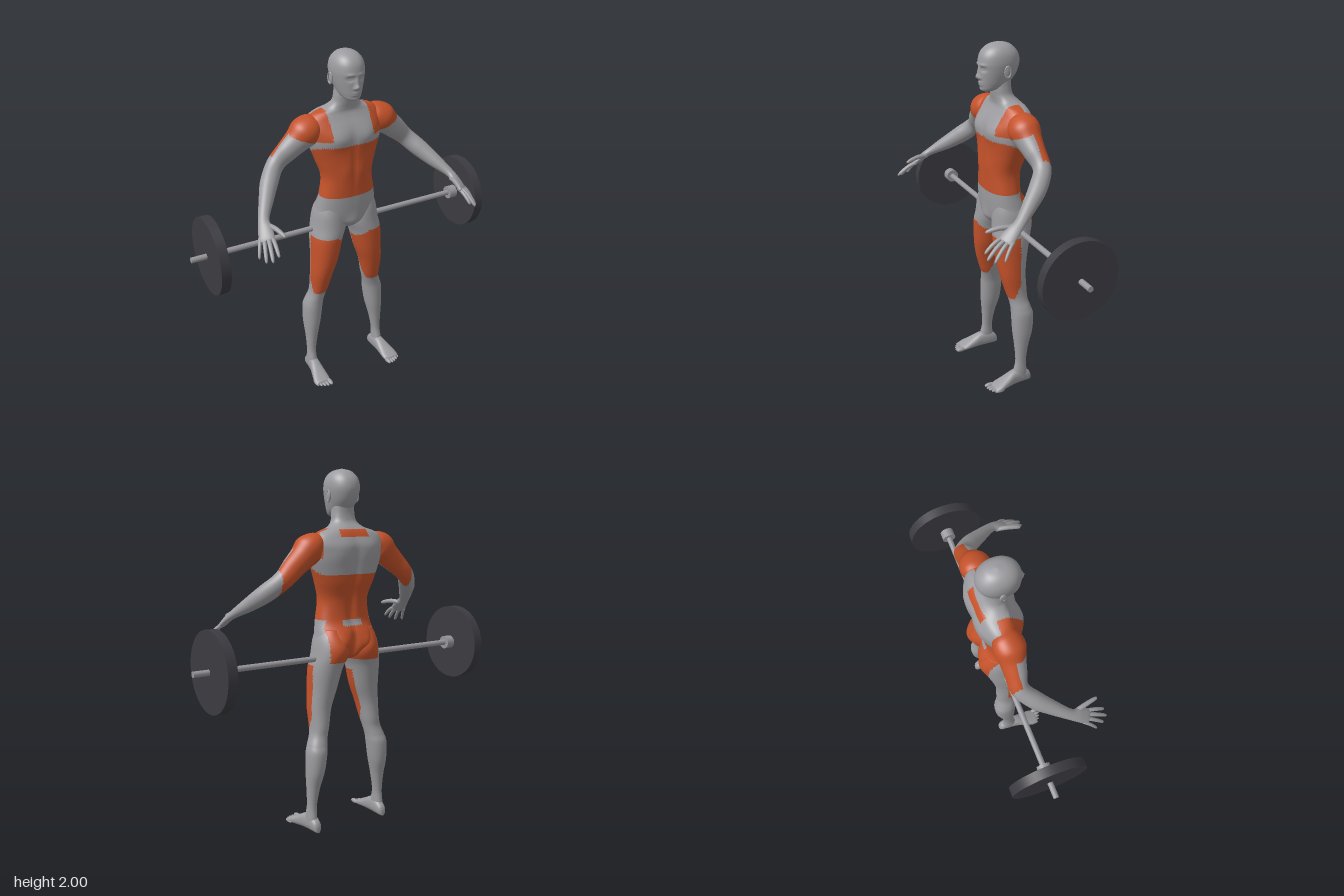
import * as THREE from 'three';

const material = (name, color) => Object.assign(new THREE.MeshStandardMaterial({ color }), { name });

// A ring is nine numbers: centre, first half-axis, second half-axis.
const upright = ([y, x, hw, back, front]) =>
  [x, y, (back + front) / 2, 0, 0, (front - back) / 2, hw, 0, 0];

// Rings square to a path of [x, y, z, half-width, half-thickness], flat side towards `normal`.
function limb(rows, normal = new THREE.Vector3(0.45, 0.79, 0.42)) {
  const at = i => new THREE.Vector3().fromArray(rows[Math.max(0, Math.min(rows.length - 1, i))]);
  return rows.map((r, i) => {
    const dir = at(i + 1).sub(at(i - 1)).normalize();
    const u = new THREE.Vector3().crossVectors(dir, normal).normalize();
    const v = new THREE.Vector3().crossVectors(u, dir);
    return [r[0], r[1], r[2], ...u.multiplyScalar(r[3]), ...v.multiplyScalar(r[4])];
  });
}

// Smooth surface through rings; `sculpt` moves points, `paint` picks a material per face.
function loft(rings, { segs = 48, steps = 8, side = 1, power = 2, sculpt, paint = () => 0 }) {
  const pos = [], n = rings.length, p = new THREE.Vector3();
  const ring = i => rings[Math.max(0, Math.min(n - 1, i))];
  const bend = t => Math.sign(t) * Math.abs(t) ** (2 / power);
  const push = () => pos.push(p.x * side, p.y, p.z);
  const count = (n - 1) * steps + 1;
  for (let k = 0; k < count; k++) {
    const i = Math.min(n - 2, Math.floor(k / steps)), t = k / steps - i;
    const r = ring(i).map((b, q) => {
      const a = ring(i - 1)[q], c = ring(i + 1)[q], d = ring(i + 2)[q];
      return b + 0.5 * t * (c - a + t * (2 * a - 5 * b + 4 * c - d + t * (3 * (b - c) + d - a)));
    });
    for (let j = 0; j < segs; j++) {
      const w = (j / segs) * Math.PI * 2, cu = bend(Math.cos(w)), cv = bend(Math.sin(w));
      p.set(r[0] + r[3] * cu + r[6] * cv, r[1] + r[4] * cu + r[7] * cv, r[2] + r[5] * cu + r[8] * cv);
      if (sculpt) sculpt(p);
      push();
    }
  }
  p.fromArray(rings[0]); push();
  p.fromArray(rings[n - 1]); push();
  const faces = [];
  for (let j = 0; j < segs; j++) {
    const m = (j + 1) % segs, top = (count - 1) * segs;
    faces.push([count * segs, m, j], [count * segs + 1, top + j, top + m]);
    for (let k = 0; k < count - 1; k++) {
      const a = k * segs + j, b = k * segs + m;
      faces.push([a, b, b + segs], [a, b + segs, a + segs]);
    }
  }
  // Turn all faces outward, then sort them by colour
  const A = new THREE.Vector3(), B = new THREE.Vector3(), C = new THREE.Vector3();
  const load = f => { A.fromArray(pos, f[0] * 3); B.fromArray(pos, f[1] * 3); C.fromArray(pos, f[2] * 3); };
  const o = new THREE.Vector3().fromArray(pos);
  let volume = 0;
  const lists = [[], []];
  for (const f of faces) {
    load(f);
    const mid = A.clone().add(B).add(C).divideScalar(3);
    mid.x = Math.abs(mid.x);
    lists[paint(mid) ? 1 : 0].push(f);
    volume += A.sub(o).dot(B.sub(o).cross(C.sub(o)));
  }
  const g = new THREE.BufferGeometry();
  g.setAttribute('position', new THREE.Float32BufferAttribute(pos, 3));
  g.setIndex(lists.flat().flatMap(f => (volume < 0 ? [f[0], f[2], f[1]] : f)));
  g.addGroup(0, lists[0].length * 3, 0);
  g.addGroup(lists[0].length * 3, lists[1].length * 3, 1);
  g.computeVertexNormals();
  return g;
}

// Soft push along z around a point, mirrored in x
const bump = (p, x, y, rx, ry, amount) => {
  p.z += amount * Math.exp(-(((Math.abs(p.x) - x) / rx) ** 2) - ((p.y - y) / ry) ** 2);
};

export function createModel() {
  const model = new THREE.Group();
  model.name = 'weightlifter';
  const skin = material('bodyGrey', 0x9c9b9f), orange = material('muscleOrange', 0xc4522a);
  const steel = material('barSteel', 0x97969b), iron = material('plateIron', 0x3c3b41);
  const add = (name, geometry, mat = [skin, orange], parent = model) => {
    const mesh = new THREE.Mesh(geometry, mat);
    mesh.name = name;
    parent.add(mesh);
    return mesh;
  };

  // Torso and neck
  const torso = [[0.965, 0.02, -0.13, -0.06], [0.985, 0.07, -0.17, -0.02], [1.02, 0.15, -0.19, 0.01],
    [1.06, 0.185, -0.197, 0.02], [1.12, 0.178, -0.192, 0.027], [1.19, 0.165, -0.165, 0.03],
    [1.3, 0.15, -0.168, 0.033], [1.4, 0.178, -0.198, 0.032], [1.5, 0.212, -0.212, 0.03],
    [1.56, 0.222, -0.215, 0.022], [1.6, 0.225, -0.212, 0.007], [1.64, 0.215, -0.195, -0.017],
    [1.668, 0.175, -0.18, -0.03], [1.69, 0.11, -0.16, -0.03], [1.72, 0.075, -0.135, -0.025],
    [1.76, 0.066, -0.125, -0.02], [1.81, 0.062, -0.125, -0.02]];
  const buttock = p => p.y > 0.965 && p.z < -0.125 && p.x < 0.16;
  add('torso', loft(torso.map(([y, hw, b, f]) => upright([y, 0, hw, b, f])), {
    segs: 96, steps: 8, power: 2.3,
    sculpt(p) {
      if (p.z > -0.03) {
        bump(p, 0.09, 1.535, 0.07, 0.05, 0.016);
        bump(p, 0, 1.4, 0.012, 0.16, -0.006);
        bump(p, 0.05, 1.34, 0.03, 0.05, 0.004);
        bump(p, 0, 1.02, 0.04, 0.05, 0.012);
      } else if (p.z < -0.13) {
        bump(p, 0, 1.36, 0.025, 0.2, 0.018);
        bump(p, 0.1, 1.56, 0.06, 0.07, -0.008);
        bump(p, 0.08, 1.06, 0.05, 0.06, -0.025);
        bump(p, 0, 1.05, 0.014, 0.07, 0.025);
      }
    },
    paint(p) {
      const back = p.z < -0.12;
      if (p.y < 1.19) return buttock(p) && !(back && p.y > 1.155 && p.x < 0.06);
      if (p.y < 1.44 + 0.055 * THREE.MathUtils.smoothstep(p.z, -0.16, 0)) return true;
      if (back && p.x < 0.09 && p.y > 1.64 && p.y < 1.68) return true;
      return p.y > 1.53 && p.x > (back ? 0.19 : 0.125);
    },
  }));

  // Head with sculpted face
  const head = [[1.742, 0.015, -0.01, 0.025], [1.755, 0.042, -0.05, 0.041], [1.78, 0.06, -0.11, 0.047],
    [1.82, 0.074, -0.148, 0.051], [1.86, 0.084, -0.167, 0.053], [1.9, 0.089, -0.174, 0.053],
    [1.94, 0.084, -0.165, 0.044], [1.97, 0.068, -0.142, 0.022], [1.99, 0.042, -0.112, -0.012],
    [2, 0.004, -0.066, -0.058]];
  add('head', loft(head.map(([y, hw, b, f]) => upright([y, 0, hw, b, f])), {
    segs: 96, steps: 10, power: 2.15,
    sculpt(p) {
      if (p.z < 0) return;
      bump(p, 0, 1.825, 0.012, 0.014, 0.018);
      bump(p, 0, 1.85, 0.009, 0.026, 0.012);
      bump(p, 0.013, 1.819, 0.007, 0.007, 0.007);
      bump(p, 0.033, 1.868, 0.016, 0.012, -0.01);
      bump(p, 0.033, 1.868, 0.01, 0.005, 0.005);
      bump(p, 0.03, 1.89, 0.022, 0.008, 0.005);
      bump(p, 0, 1.788, 0.022, 0.013, 0.009);
      bump(p, 0, 1.788, 0.022, 0.0025, -0.005);
      bump(p, 0, 1.755, 0.02, 0.01, 0.005);
    },
  }), [skin, orange]);

  const legRows = [[1.14, 0.1, 0.065, -0.17, 0], [1.08, 0.1, 0.088, -0.195, 0.013],
    [1, 0.104, 0.098, -0.208, 0.02], [0.92, 0.126, 0.09, -0.19, 0.025], [0.8, 0.143, 0.078, -0.165, 0.017],
    [0.7, 0.162, 0.064, -0.152, 0], [0.6, 0.173, 0.053, -0.156, -0.028], [0.55, 0.183, 0.05, -0.157, -0.045],
    [0.5, 0.198, 0.054, -0.17, -0.052], [0.45, 0.207, 0.057, -0.183, -0.053], [0.35, 0.215, 0.05, -0.177, -0.056],
    [0.25, 0.223, 0.036, -0.15, -0.065], [0.15, 0.229, 0.026, -0.135, -0.07], [0.08, 0.231, 0.028, -0.14, -0.055],
    [0.03, 0.231, 0.028, -0.148, -0.05]];
  // Foot sections: z, x, half-width, height
  const footRows = [[-0.168, 0.227, 0.01, 0.035], [-0.155, 0.227, 0.024, 0.062], [-0.11, 0.228, 0.03, 0.09],
    [-0.055, 0.232, 0.033, 0.09], [0, 0.238, 0.042, 0.064], [0.05, 0.243, 0.049, 0.04], [0.085, 0.244, 0.044, 0.024]];
  const armRows = [[0.16, 1.6, -0.1, 0.06, 0.055], [0.2, 1.595, -0.097, 0.08, 0.07], [0.24, 1.572, -0.096, 0.085, 0.082],
    [0.285, 1.53, -0.1, 0.07, 0.07], [0.34, 1.483, -0.105, 0.058, 0.062], [0.41, 1.418, -0.108, 0.048, 0.052],
    [0.475, 1.352, -0.05, 0.048, 0.05], [0.53, 1.292, 0.025, 0.039, 0.04], [0.583, 1.235, 0.105, 0.03, 0.024],
    [0.597, 1.205, 0.15, 0.038, 0.02], [0.608, 1.172, 0.19, 0.042, 0.016], [0.613, 1.16, 0.207, 0.036, 0.01]];
  // Knuckle, tip and thickness for each finger, thumb last
  const fingers = [[[0.583, 1.172, 0.205], [0.595, 1.11, 0.308], 0.011], [[0.602, 1.168, 0.198], [0.63, 1.09, 0.31], 0.0115],
    [[0.62, 1.166, 0.185], [0.655, 1.08, 0.282], 0.011], [[0.635, 1.166, 0.168], [0.673, 1.085, 0.235], 0.0095],
    [[0.575, 1.212, 0.14], [0.543, 1.198, 0.28], 0.0135]];

  for (const [side, label] of [[1, 'left'], [-1, 'right']]) {
    const half = new THREE.Group();
    half.name = label + 'Limbs';
    model.add(half);

    // Ear
    const ear = add(label + 'Ear', new THREE.SphereGeometry(1, 16, 12), skin, half);
    ear.scale.set(0.008, 0.03, 0.018);
    ear.position.set(side * 0.088, 1.855, -0.068);
    const rim = add(label + 'EarRim', new THREE.TorusGeometry(0.022, 0.005, 8, 24), skin, half);
    rim.scale.set(0.75, 1.3, 1);
    rim.rotation.y = Math.PI / 2 - side * 0.2;
    rim.position.set(side * 0.092, 1.855, -0.07);

    // Leg
    add(label + 'Leg', loft(legRows.map(upright), {
      side, power: 2.15,
      sculpt(p) {
        if (p.z < -0.13) bump(p, 0.09, 1.04, 0.06, 0.06, -0.018);
      },
      paint: p => buttock(p) || (p.y > 0.565 && p.z > -0.1 - Math.max(0, 0.66 - p.y) * -0.4
        && p.y < 0.94 - 0.8 * Math.max(0, 0.1 - p.x)),
    }), undefined, half);

    // Foot and toes
    add(label + 'Foot', loft(footRows.map(([z, x, hw, h]) => [x, h / 2, z, hw, 0, 0, 0, h / 2, 0]),
      { side, segs: 32, steps: 5, power: 2.4 }), undefined, half);
    for (let i = 0; i < 5; i++) {
      const toe = add(label + 'Toe', new THREE.SphereGeometry(1, 14, 10), skin, half);
      const r = i ? 0.0095 : 0.0135;
      toe.scale.set(r, r, 0.032);
      toe.position.set(side * (i ? 0.21 + i * 0.0185 : 0.207), r + 0.002, 0.092 - 0.003 * i * i / 1.5);
    }

    // Arm and palm
    add(label + 'Arm', loft(limb(armRows), {
      side, steps: 10,
      paint: p => (p.z < -0.1 ? p.x < 0.43 : p.x < 0.33 && p.y > 1.52 + 0.4 * (p.x - 0.2)),
    }), undefined, half);

    // Fingers, slightly arched
    for (const [from, to, r] of fingers) {
      const rows = [[0, 1], [0.3, 1], [0.55, 0.95], [0.8, 0.85], [0.95, 0.6], [1, 0.1]].map(([t, k]) => [
        ...from.map((a, q) => a + (to[q] - a) * t + (q === 1 ? 0.01 * Math.sin(t * Math.PI) : 0)), r * k, r * k]);
      add(label + 'Finger', loft(limb(rows), { side, segs: 14, steps: 4 }), undefined, half);
    }
  }

  // Barbell
  const barbell = new THREE.Group();
  barbell.name = 'barbell';
  barbell.position.set(0, 0.98, -0.1);
  model.add(barbell);
  const rod = (name, r, length, x, mat, segs) => {
    const mesh = add(name, new THREE.CylinderGeometry(r, r, length, segs), mat, barbell);
    mesh.rotation.z = Math.PI / 2;
    mesh.position.x = x;
  };
  rod('bar', 0.016, 1.85, 0, steel, 24);
  for (const s of [1, -1]) {
    rod('weightPlate', 0.217, 0.054, s * 0.811, iron, 48);
    rod('collar', 0.038, 0.05, s * 0.76, steel, 24);
  }
  return model;
}
